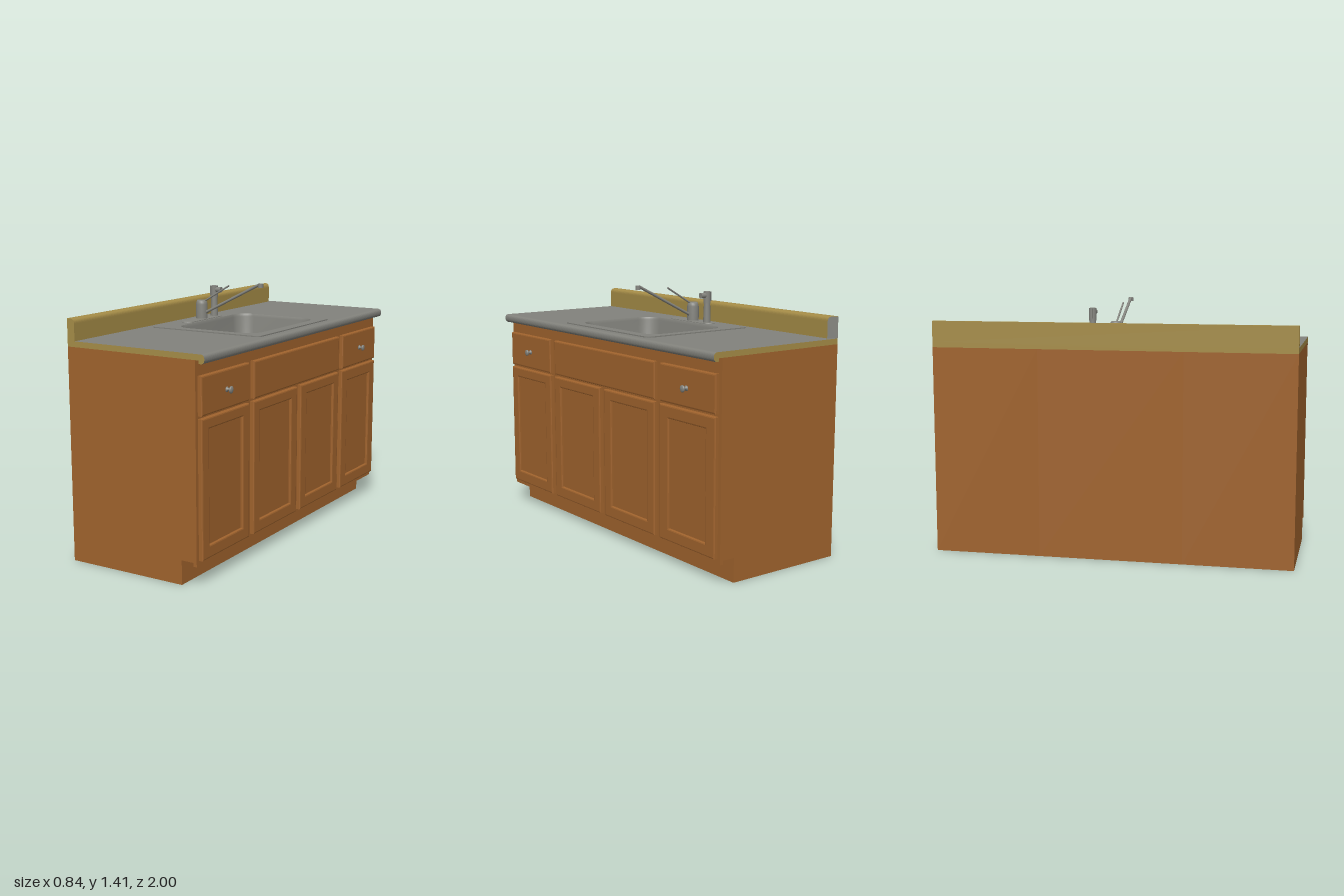
import * as THREE from 'three';

const mat = (name, color, side = THREE.FrontSide) => {
  const m = new THREE.MeshStandardMaterial({ color, side });
  m.name = name;
  return m;
};

export function createModel() {
  const root = new THREE.Group();
  root.name = 'sinkCabinet';
  const wood = mat('wood', 0xa0632d);
  const edge = mat('countertopEdge', 0xa58c47);
  const top = mat('greyLaminate', 0x82827c);
  const steel = mat('steel', 0x85857f, THREE.DoubleSide);

  const add = (name, geo, material, parent = root) => {
    const m = new THREE.Mesh(geo, material);
    m.name = name;
    parent.add(m);
    return m;
  };
  const poly = (pts) => new THREE.Shape(pts.map(([x, y]) => new THREE.Vector2(x, y)));
  const extrude = (shape, depth, opts = {}) =>
    new THREE.ExtrudeGeometry(shape, { depth, bevelEnabled: false, curveSegments: 8, ...opts });
  // Points of a rounded rectangle centred on (cx, cy), counter-clockwise
  const roundRect = (cx, cy, hw, hh, r, n = 8) => {
    const pts = [];
    [[1, 1], [-1, 1], [-1, -1], [1, -1]].forEach(([sx, sy], q) => {
      for (let i = 0; i <= n; i++) {
        const a = (q + i / n) * Math.PI / 2;
        pts.push([cx + sx * (hw - r) + r * Math.cos(a), cy + sy * (hh - r) + r * Math.sin(a)]);
      }
    });
    return pts;
  };
  const rect = (x0, y0, x1, y1) => [[x0, y0], [x1, y0], [x1, y1], [x0, y1]];
  const withHole = (outer, inner) => {
    const s = poly(outer);
    s.holes.push(poly(inner));
    return s;
  };
  // Cylinder between two points
  const rod = (name, a, b, r0, r1, material, parent, seg = 16) => {
    const p = new THREE.Vector3(...a), q = new THREE.Vector3(...b);
    const m = add(name, new THREE.CylinderGeometry(r1, r0, p.distanceTo(q), seg), material, parent);
    m.position.copy(p).add(q).multiplyScalar(0.5);
    m.quaternion.setFromUnitVectors(new THREE.Vector3(0, 1, 0), q.sub(p).normalize());
    return m;
  };

  // Carcass with toe kick; the middle section is open above to take the basin
  const lower = [[-0.42, 0], [0.27, 0], [0.27, 0.13], [0.34, 0.13], [0.34, 0.11], [0.36, 0.11], [0.36, 1.15]];
  const pocket = [[0.35, 1.15], [0.35, 0.93], [-0.3, 0.93], [-0.3, 1.15]];
  [[-1, -0.4, []], [-0.4, 0.4, pocket], [0.4, 1, []]].forEach(([z0, z1, cut]) => {
    const g = extrude(poly([...lower, ...cut, [-0.42, 1.15]]), z1 - z0);
    add('carcass', g.translate(0, 0, z0), wood);
  });

  // Door and drawer fronts; u runs along -z
  const onFront = (shape, x0, x1, bevel) => {
    const b = bevel ? 0.006 : 0;
    return extrude(shape, x1 - x0 - 2 * b, {
      bevelEnabled: bevel, bevelThickness: b, bevelSize: 0.008, bevelOffset: -0.008, bevelSegments: 2,
    }).rotateY(Math.PI / 2).translate(x0 + b, 0, 0);
  };
  [[-0.98, -0.535], [-0.485, 0.485], [0.535, 0.98]].forEach(([u0, u1]) =>
    add('drawerFront', onFront(poly(rect(u0, 0.872, u1, 1.07)), 0.35, 0.384, true), wood));
  [
    [-0.98, -0.535, -0.915, -0.6, 0.8], [-0.49, -0.022, -0.425, -0.09, 0.8],
    [0.022, 0.485, 0.09, 0.42, 0.8], [0.53, 0.98, 0.605, 0.905, 0.79],
  ].forEach(([u0, u1, p0, p1, pTop]) => {
    const frame = withHole(rect(u0, 0.138, u1, 0.858), rect(p0, 0.205, p1, pTop));
    add('doorFrame', onFront(frame, 0.35, 0.384, true), wood);
    add('doorPanel', onFront(poly(rect(p0 - 0.02, 0.185, p1 + 0.02, pTop + 0.02)), 0.355, 0.37, false), wood);
  });

  // Drawer knobs
  const knobProfile = [[0, 0], [0.014, 0], [0.014, 0.004], [0.007, 0.008], [0.007, 0.02], [0.018, 0.024],
    [0.018, 0.029], [0.012, 0.033], [0, 0.034]].map(([x, y]) => new THREE.Vector2(x, y));
  for (const s of [-1, 1]) {
    const knob = add('drawerKnob', new THREE.LatheGeometry(knobProfile, 20), steel);
    knob.rotation.z = -Math.PI / 2;
    knob.position.set(0.383, 0.97, s * 0.755);
  }

  // Countertop slab, cut out for the basin
  const flat = (shape, y0, h, opts) => extrude(shape, h, opts).rotateX(-Math.PI / 2).translate(0, y0, 0);
  add('countertop', flat(withHole(rect(-0.42, -1, 0.37, 1), roundRect(0.045, 0, 0.265, 0.36, 0.095)), 1.15, 0.03),
    [top, edge]);

  // Rounded front nosing
  const nose = poly([[0.37, 1.15], [0.38, 1.15], [0.38, 1.135]]);
  nose.lineTo(0.392, 1.132);
  nose.quadraticCurveTo(0.413, 1.134, 0.413, 1.157);
  nose.quadraticCurveTo(0.413, 1.18, 0.39, 1.18);
  nose.lineTo(0.37, 1.18);
  add('frontNosing', extrude(nose, 2).translate(0, 0, -1), [edge, top]);

  // Backsplash with rounded top edge; its far end is mitred
  const splash = poly([[-0.42, 1.18], [-0.375, 1.18], [-0.375, 1.27]]);
  splash.quadraticCurveTo(-0.375, 1.295, -0.4, 1.295);
  splash.lineTo(-0.42, 1.295);
  const sg = extrude(splash, 2).translate(0, 0, -1);
  const sp = sg.attributes.position;
  for (let i = 0; i < sp.count; i++) {
    if (sp.getZ(i) < -0.99) sp.setZ(i, -1 + 0.7 * (sp.getX(i) + 0.42));
  }
  sg.computeVertexNormals();
  const caps = sg.groups[0].count, sides = sg.groups[1].count;
  sg.clearGroups();
  sg.addGroup(0, caps / 2, 0);
  sg.addGroup(caps / 2, caps / 2 + sides, 1);
  add('backsplash', sg, [top, edge]);

  // Sink rim
  const sink = new THREE.Group();
  sink.name = 'sink';
  root.add(sink);
  const rim = withHole(roundRect(0.015, 0, 0.345, 0.4, 0.03), roundRect(0.045, 0, 0.255, 0.345, 0.09));
  add('sinkRim', flat(rim, 1.178, 0.008), top, sink);

  // Basin lofted from rounded rectangles: [inset, height]
  const rings = [[0, 1.186], [0.006, 1.17], [0.018, 1.03], [0.03, 0.995], [0.05, 0.978], [0.08, 0.972], [0.2, 0.97]]
    .map(([d, y]) => roundRect(0.045, 0, 0.255 - d, 0.345 - d, Math.max(0.09 - d * 0.2, 0.03))
      .map(([x, z]) => [x, y, z]));
  const n = rings[0].length;
  const pos = rings.flat(2).concat([0.045, 0.97, 0]);
  const idx = [];
  for (let j = 0; j < n; j++) {
    const k = (j + 1) % n;
    for (let i = 0; i < rings.length - 1; i++) {
      const a = i * n + j, b = i * n + k;
      idx.push(a, a + n, b, b, a + n, b + n);
    }
    const last = (rings.length - 1) * n;
    idx.push(last + j, rings.length * n, last + k);
  }
  const basin = new THREE.BufferGeometry();
  basin.setAttribute('position', new THREE.Float32BufferAttribute(pos, 3));
  basin.setIndex(idx);
  basin.computeVertexNormals();
  add('basin', basin, steel, sink);
  rod('drain', [0.045, 0.965, 0], [0.045, 0.973, 0], 0.055, 0.055, steel, sink, 32);

  // Faucet on its oval base plate
  const faucet = new THREE.Group();
  faucet.name = 'faucet';
  root.add(faucet);
  add('faucetBase', flat(poly(roundRect(-0.26, 0, 0.038, 0.18, 0.037)), 1.184, 0.004,
    { bevelEnabled: true, bevelThickness: 0.004, bevelSize: 0.004, bevelOffset: -0.004, bevelSegments: 2 }), steel, faucet);
  const body = [[0.034, 0], [0.034, 0.085], [0.03, 0.1], [0.025, 0.108], [0, 0.108]]
    .map(([x, y]) => new THREE.Vector2(x, y));
  add('faucetBody', new THREE.LatheGeometry(body, 24), steel, faucet).position.set(-0.26, 1.188, 0);
  rod('spout', [-0.24, 1.223, 0], [0.125, 1.406, 0], 0.008, 0.008, steel, faucet);
  rod('spoutTip', [0.132, 1.41, 0], [0.132, 1.389, 0], 0.015, 0.015, steel, faucet);
  rod('lever', [-0.25, 1.286, 0], [-0.075, 1.388, 0], 0.005, 0.005, steel, faucet);

  // Side sprayer
  const sprayer = new THREE.Group();
  sprayer.name = 'sprayer';
  root.add(sprayer);
  rod('sprayerStem', [-0.258, 1.188, -0.13], [-0.258, 1.3, -0.13], 0.022, 0.018, steel, sprayer);
  rod('sprayerHead', [-0.258, 1.3, -0.13], [-0.258, 1.367, -0.13], 0.021, 0.021, steel, sprayer);
  rod('sprayerNozzle', [-0.258, 1.345, -0.13], [-0.21, 1.345, -0.13], 0.015, 0.016, steel, sprayer);
  const trigger = add('sprayerTrigger', new THREE.BoxGeometry(0.004, 0.055, 0.012), steel, sprayer);
  trigger.position.set(-0.282, 1.338, -0.13);

  return root;
}
